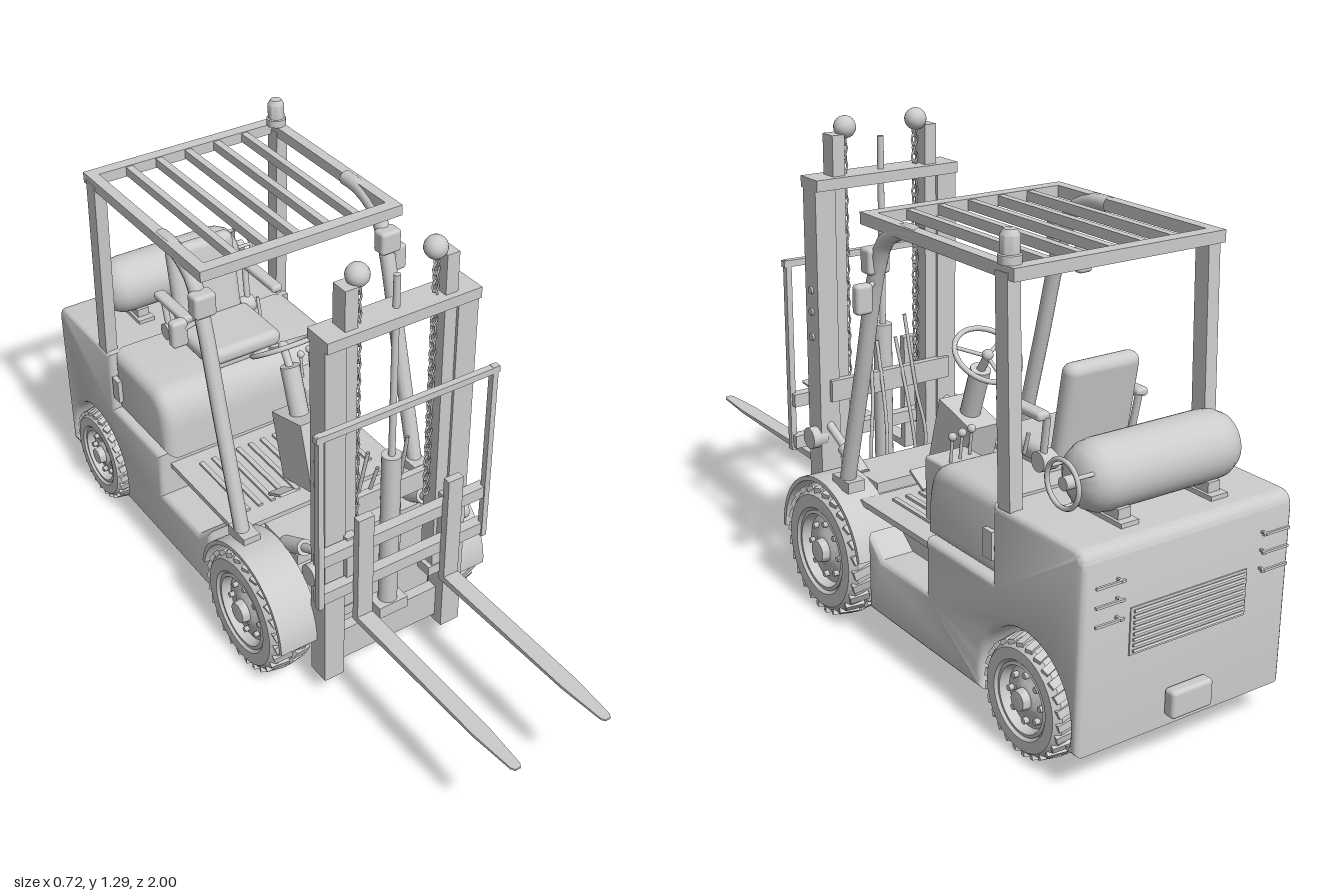
import * as THREE from 'three';
import { mergeGeometries, toCreasedNormals } from 'three/addons/utils/BufferGeometryUtils.js';
import { RoundedBoxGeometry } from 'three/addons/geometries/RoundedBoxGeometry.js';

const V = (x, y, z) => new THREE.Vector3(x, y, z);
const mat = new THREE.MeshStandardMaterial({ color: 0xcccccc, side: THREE.DoubleSide });

export function createModel() {
  const model = new THREE.Group();
  const add = (name, geo, x = 0, y = 0, z = 0, rx = 0, parent = model) => {
    const m = new THREE.Mesh(geo, mat);
    m.name = name;
    m.position.set(x, y, z);
    m.rotation.x = rx;
    parent.add(m);
    return m;
  };
  const box = (name, w, h, d, x, y, z, rx) => add(name, new THREE.BoxGeometry(w, h, d), x, y, z, rx);
  const soft = (name, w, h, d, r, x, y, z, rx) => add(name, new RoundedBoxGeometry(w, h, d, 3, r), x, y, z, rx);
  const rod = (name, a, b, r, parent = model, r2 = r) => {
    const d = b.clone().sub(a);
    const m = add(name, new THREE.CylinderGeometry(r2, r, d.length(), 16), 0, 0, 0, 0, parent);
    m.position.copy(a).addScaledVector(d, 0.5);
    m.quaternion.setFromUnitVectors(V(0, 1, 0), d.normalize());
    return m;
  };
  const tube = (name, pts, r) =>
    add(name, new THREE.TubeGeometry(new THREE.CatmullRomCurve3(pts), 28, r, 10));
  const both = (fn) => [1, -1].forEach(fn);
  // Side profile (z, y) extruded across x
  const extrudeX = (shape, width, bevel = 0) => {
    const g = new THREE.ExtrudeGeometry(shape, {
      depth: width - 2 * bevel, bevelEnabled: bevel > 0, bevelSize: bevel,
      bevelThickness: bevel, bevelOffset: -bevel, bevelSegments: 4, curveSegments: 24,
    });
    g.translate(0, 0, bevel - width / 2).rotateY(-Math.PI / 2);
    return toCreasedNormals(g, 0.6);
  };
  // Lathe whose axis points along +x
  const latheX = (pts, seg = 40) => toCreasedNormals(new THREE.LatheGeometry(
    pts.map(([r, y]) => new THREE.Vector2(r, y)), seg).rotateZ(-Math.PI / 2), 0.6);

  // Chassis with counterweight, rear wheel arch and side step
  const s = new THREE.Shape();
  s.moveTo(-0.965, 0.09);
  s.lineTo(-0.926, 0.09);
  s.absarc(-0.77, 0.145, 0.165, Math.PI + 0.34, -0.34, true);
  [[-0.11, 0.09], [-0.11, 0.3], [-0.175, 0.25], [-0.375, 0.25], [-0.375, 0.39], [-0.645, 0.39],
    [-0.645, 0.578], [-0.93, 0.578]].forEach(([z, y]) => s.lineTo(z, y));
  s.quadraticCurveTo(-0.965, 0.578, -0.968, 0.54);
  s.closePath();
  add('chassis', extrudeX(s, 0.61, 0.016));
  box('bellyPlate', 0.38, 0.03, 0.4, 0, 0.107, -0.76);
  box('frontFrame', 0.42, 0.25, 0.58, 0, 0.215, -0.09);
  box('frontCowl', 0.4, 0.05, 0.16, 0, 0.345, 0.09);

  // Engine hood under the seat
  const h = new THREE.Shape();
  h.moveTo(-0.655, 0.385);
  h.lineTo(-0.348, 0.385);
  h.lineTo(-0.352, 0.48);
  h.quadraticCurveTo(-0.36, 0.58, -0.43, 0.585);
  h.lineTo(-0.655, 0.585);
  h.closePath();
  add('engineHood', extrudeX(h, 0.58, 0.035));
  both((k) => box('hoodLatch', 0.015, 0.07, 0.035, k * 0.295, 0.47, -0.625));

  // Ribbed floor
  box('floorPlate', 0.54, 0.016, 0.36, 0, 0.345, -0.2);
  for (let i = 0; i < 11; i++) box('floorRib', 0.014, 0.008, 0.25, -0.2 + i * 0.04, 0.356, -0.2);

  // Wheels: tyre, tread blocks, dished rim, hub and lug nuts
  const wheel = (name, R, w, side, x, z) => {
    const g = new THREE.Group(), a = w / 2, q = R * 0.6, T = R - 0.008;
    g.name = name;
    add('tyre', latheX([[q, -a * 0.8], [q * 1.1, -a], [R * 0.85, -a], [T, -a * 0.72], [T, a * 0.72],
      [R * 0.85, a], [q * 1.1, a], [q, a * 0.8]]), 0, 0, 0, 0, g);
    add('rim', latheX([[0, -a * 0.6], [q, -a * 0.8], [q * 1.02, a * 0.9], [q * 0.93, a * 0.92],
      [q * 0.86, a * 0.5], [q * 0.5, a * 0.6], [q * 0.4, a * 0.72], [q * 0.3, a * 0.75],
      [q * 0.27, a * 1.1], [0, a * 1.12]]), 0, 0, 0, 0, g);
    const blocks = [], nuts = [], n = 26;
    for (let i = 0; i < n * 2; i++) {
      const k = i % 2 ? 1 : -1;
      blocks.push(new THREE.BoxGeometry(a * 0.86, 0.018, R * 0.13).rotateY(k * 0.3)
        .rotateZ(-k * 0.16).translate(k * a * 0.48, R - 0.011, 0).rotateX(i * Math.PI / n));
    }
    for (let i = 0; i < 8; i++) nuts.push(new THREE.CylinderGeometry(0.008, 0.008, 0.02, 6)
      .rotateZ(Math.PI / 2).translate(a * 0.62, q * 0.66, 0).rotateX(i * Math.PI / 4));
    add('tread', mergeGeometries(blocks), 0, 0, 0, 0, g);
    add('lugNuts', mergeGeometries(nuts), 0, 0, 0, 0, g);
    g.position.set(side * x, R, z);
    if (side < 0) g.rotation.y = Math.PI;
    model.add(g);
  };
  const f = new THREE.Shape();
  f.absarc(0, 0, 0.202, 0, 2.95, false);
  f.absarc(0, 0, 0.19, 2.95, 0, true);
  f.closePath();
  both((k) => {
    wheel('frontWheel', 0.18, 0.12, k, 0.275, 0.09);
    wheel('rearWheel', 0.145, 0.115, k, 0.257, -0.77);
    add('frontFender', extrudeX(f, 0.12), k * 0.27, 0.18, 0.09);
  });
  rod('frontAxle', V(-0.25, 0.18, 0.09), V(0.25, 0.18, 0.09), 0.04);
  rod('rearAxle', V(-0.25, 0.145, -0.77), V(0.25, 0.145, -0.77), 0.03);

  // Mast: uprights, chains, pulleys and tilt cylinders
  const links = [];
  for (let i = 0; i < 30; i++) links.push(new THREE.TorusGeometry(0.009, 0.003, 5, 8)
    .scale(1, 1.6, 1).rotateY(i % 2 ? Math.PI / 2 : 0).translate(0, 0.54 + i * 0.0235, 0));
  both((k) => {
    box('outerUpright', 0.06, 1.07, 0.065, k * 0.19, 0.595, 0.297);
    box('innerUpright', 0.036, 0.95, 0.05, k * 0.143, 0.765, 0.297);
    box('innerFoot', 0.045, 0.03, 0.05, k * 0.135, 0.275, 0.3);
    rod('pulley', V(k * 0.095, 1.255, 0.295), V(k * 0.125, 1.255, 0.295), 0.03)
      .geometry = new THREE.CylinderGeometry(0.022, 0.022, 0.03, 24);
    add('pulleyDisc', new THREE.SphereGeometry(0.03, 20, 12), k * 0.11, 1.255, 0.295);
    add('chain', mergeGeometries(links), k * 0.11, 0, 0.3);
    rod('mastPivot', V(k * 0.2, 0.415, 0.29), V(k * 0.245, 0.415, 0.29), 0.03);
    rod('tiltCylinder', V(k * 0.19, 0.36, 0.1), V(k * 0.19, 0.41, 0.19), 0.022);
    rod('tiltRod', V(k * 0.19, 0.41, 0.19), V(k * 0.19, 0.45, 0.27), 0.012);
    for (const y of [0.7, 0.77, 0.83]) rod('mastBolt', V(k * 0.215, y, 0.297), V(k * 0.226, y, 0.297), 0.01);
    tube('hose', [V(k * 0.06, 0.72, 0.28), V(k * 0.07, 0.52, 0.24), V(k * 0.09, 0.36, 0.22), V(k * 0.06, 0.2, 0.25)], 0.005);
    tube('hose', [V(k * 0.03, 0.66, 0.28), V(k * 0.04, 0.45, 0.22), V(k * 0.05, 0.3, 0.2)], 0.005);
  });
  box('mastTopBar', 0.44, 0.03, 0.085, 0, 1.117, 0.297);
  box('mastBottomBar', 0.34, 0.1, 0.03, 0, 0.13, 0.285);
  box('mastRearBar', 0.38, 0.06, 0.02, 0, 0.55, 0.262);
  box('cylinderBracket', 0.09, 0.036, 0.06, 0, 0.207, 0.297);
  rod('liftCylinder', V(0, 0.2, 0.297), V(0, 0.7, 0.297), 0.026);
  rod('liftRod', V(0, 0.7, 0.297), V(0, 1.22, 0.297), 0.009);

  // Carriage, backrest and forks
  box('carriageUpperBar', 0.52, 0.036, 0.03, 0, 0.512, 0.35);
  box('carriageLowerBar', 0.52, 0.036, 0.03, 0, 0.391, 0.35);
  box('backrestTopBar', 0.54, 0.018, 0.018, 0, 0.895, 0.36);
  const tine = new THREE.Shape([[-0.023, 0.37], [0.023, 0.37], [0.023, 0.86], [0.014, 0.99], [0.008, 1],
    [-0.008, 1], [-0.014, 0.99], [-0.023, 0.86]].map(([x, z]) => new THREE.Vector2(x, z)));
  both((k) => {
    box('backrestPost', 0.016, 0.54, 0.018, k * 0.257, 0.635, 0.36);
    box('carriageSide', 0.03, 0.17, 0.03, k * 0.15, 0.452, 0.33);
    box('forkShank', 0.046, 0.335, 0.022, k * 0.137, 0.452, 0.377);
    const t = new THREE.ExtrudeGeometry(tine, { depth: 0.02, bevelEnabled: false }).rotateX(Math.PI / 2);
    // Thin the blade toward its tip
    const p = t.attributes.position;
    for (let i = 0; i < p.count; i++) if (p.getY(i) < -0.01) p.setY(i, -0.02 + 0.015 * (p.getZ(i) - 0.37) / 0.63);
    t.computeVertexNormals();
    add('forkTine', t, k * 0.137, 0.303, 0);
  });

  // Overhead guard
  both((k) => {
    tube('guardFrontLeg', [V(k * 0.28, 0.38, 0.03), V(k * 0.28, 0.7, -0.055), V(k * 0.28, 1, -0.135),
      V(k * 0.28, 1.075, -0.175), V(k * 0.28, 1.112, -0.25), V(k * 0.28, 1.115, -0.32)], 0.021);
    box('guardLegFoot', 0.05, 0.03, 0.08, k * 0.275, 0.385, 0.03);
    box('guardRearLeg', 0.035, 0.54, 0.045, k * 0.285, 0.845, -0.676, 0.04);
    box('guardSideRail', 0.03, 0.03, 0.61, k * 0.285, 1.115, -0.4);
    soft('headlight', 0.062, 0.066, 0.045, 0.01, k * 0.28, 1.017, -0.125);
    rod('mirrorArm', V(k * 0.28, 0.97, -0.13), V(k * 0.335, 0.94, -0.15), 0.006);
    soft('mirror', 0.046, 0.075, 0.03, 0.01, k * 0.335, 0.935, -0.155);
  });
  box('guardFrontRail', 0.6, 0.03, 0.035, 0, 1.115, -0.108);
  box('guardRearRail', 0.6, 0.03, 0.035, 0, 1.115, -0.69);
  for (let i = -2; i <= 2; i++) box('guardSlat', 0.02, 0.025, 0.57, i * 0.09, 1.115, -0.4);
  add('beacon', toCreasedNormals(new THREE.LatheGeometry([[0.027, 0], [0.027, 0.02], [0.023, 0.022],
    [0.023, 0.062], [0.015, 0.075], [0, 0.077]].map(([r, y]) => new THREE.Vector2(r, y)), 24), 0.6), 0.28, 1.13, -0.665);

  // Steering column, wheel and control box
  box('columnHousing', 0.09, 0.2, 0.15, 0, 0.475, -0.095, -0.27);
  rod('steeringColumn', V(0, 0.54, -0.115), V(0, 0.7, -0.17), 0.027);
  rod('steeringShaft', V(0, 0.69, -0.165), V(0, 0.742, -0.2), 0.011);
  const sw = new THREE.Group();
  sw.name = 'steeringWheel';
  add('wheelRim', new THREE.TorusGeometry(0.088, 0.007, 8, 40), 0, 0, 0, 0, sw);
  for (let i = 0; i < 3; i++) {
    const a = Math.PI / 2 + i * Math.PI * 2 / 3;
    rod('wheelSpoke', V(0, 0, -0.005), V(Math.cos(a) * 0.088, Math.sin(a) * 0.088, 0), 0.005, sw);
  }
  add('wheelHub', new THREE.SphereGeometry(0.015, 14, 10), 0, 0, 0, 0, sw);
  sw.position.set(0, 0.745, -0.2);
  sw.quaternion.setFromUnitVectors(V(0, 0, 1), V(0, 0.83, -0.56).normalize());
  model.add(sw);
  soft('controlBox', 0.12, 0.17, 0.105, 0.008, 0.16, 0.455, -0.297);
  for (let i = 0; i < 3; i++) {
    const x = 0.125 + i * 0.035, z = -0.29 - i * 0.01;
    rod('controlLever', V(x, 0.53, z - 0.01), V(x, 0.605, z - 0.02), 0.004);
    add('leverKnob', new THREE.SphereGeometry(0.011, 12, 8), x, 0.61, z - 0.02);
  }
  both((k) => box('pedal', 0.05, 0.008, 0.07, k * 0.1, 0.385, -0.06, -0.5));

  // Seat
  soft('seatBase', 0.2, 0.03, 0.18, 0.01, 0, 0.592, -0.5);
  soft('seatCushion', 0.24, 0.05, 0.2, 0.022, 0, 0.622, -0.495);
  soft('seatBack', 0.21, 0.26, 0.05, 0.024, 0, 0.735, -0.622, -0.17);
  both((k) => {
    soft('armrest', 0.035, 0.022, 0.17, 0.009, k * 0.145, 0.742, -0.54);
    rod('armrestStay', V(k * 0.13, 0.625, -0.6), V(k * 0.135, 0.74, -0.62), 0.009);
    rod('seatHinge', V(k * 0.1, 0.625, -0.6), V(k * 0.145, 0.625, -0.6), 0.025);
  });
  rod('seatLever', V(0.13, 0.62, -0.53), V(0.13, 0.675, -0.545), 0.005);

  // Gas tank with collar, valve, straps and cradle
  add('gasTank', latheX([[0, -0.225], [0.045, -0.22], [0.068, -0.205], [0.08, -0.18], [0.083, -0.15],
    [0.083, 0.15], [0.08, 0.175], [0.068, 0.2], [0.045, 0.215], [0, 0.22]]), 0, 0.675, -0.825);
  add('tankCollar', new THREE.TorusGeometry(0.055, 0.006, 8, 28).rotateY(Math.PI / 2), 0.25, 0.675, -0.825);
  for (let i = 0; i < 3; i++) {
    const a = i * Math.PI * 2 / 3 + 0.5, y = 0.675 + Math.sin(a) * 0.055, z = -0.825 + Math.cos(a) * 0.055;
    rod('collarPost', V(0.19, y, z), V(0.25, y, z), 0.005);
  }
  rod('tankValve', V(0.21, 0.675, -0.825), V(0.25, 0.675, -0.825), 0.016);
  both((k) => {
    box('tankCradle', 0.035, 0.035, 0.13, k * 0.13, 0.596, -0.825);
    box('cradleFoot', 0.05, 0.012, 0.17, k * 0.13, 0.583, -0.825);
  });

  // Rear grille, tow block and lamp guards
  box('grilleFrame', 0.34, 0.115, 0.006, 0, 0.362, -0.967);
  for (let i = 0; i < 8; i++) box('grilleSlat', 0.325, 0.006, 0.01, 0, 0.314 + i * 0.0137, -0.971, 0.4);
  soft('towBlock', 0.12, 0.07, 0.035, 0.01, 0, 0.155, -0.982);
  both((k) => {
    for (const y of [0.5, 0.455, 0.41]) {
      box('lampGuardBar', 0.08, 0.006, 0.006, k * 0.24, y, -0.983);
      box('lampGuardStay', 0.006, 0.006, 0.03, k * 0.21, y, -0.972);
    }
  });
  return model;
}
